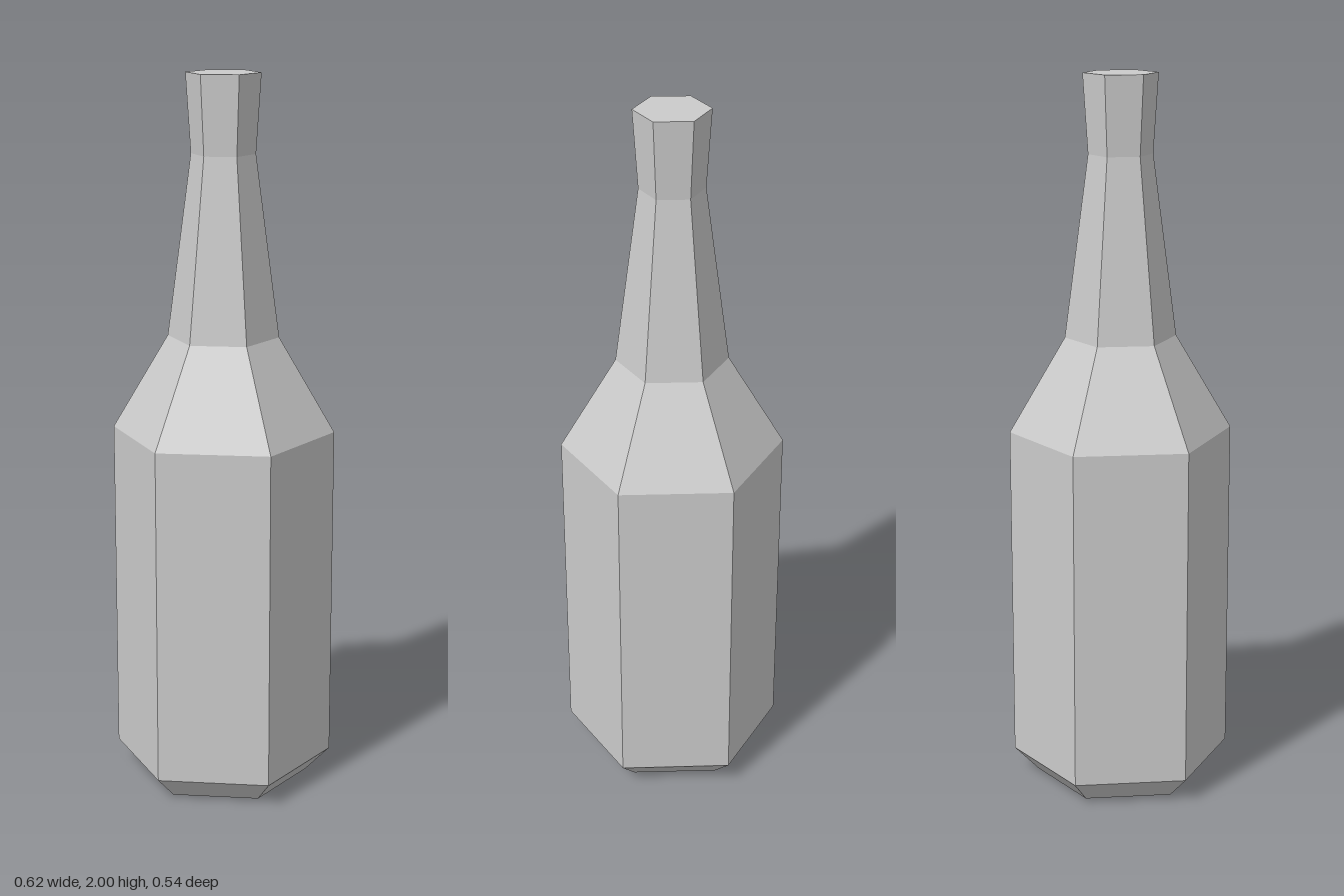
import * as THREE from 'three';

const SIDES = 6;

export function createModel() {
  const group = new THREE.Group();
  group.name = 'bottle';
  const material = new THREE.MeshStandardMaterial({ color: 0xcccccc, flatShading: true });

  // Closed profile [radius, height], from the base centre up to the capped mouth
  const profile = [
    [0, 0],
    [0.24, 0],        // base
    [0.309, 0.07],    // bevel
    [0.309, 1.02],    // body
    [0.154, 1.285],   // shoulder
    [0.088, 1.785],   // neck
    [0.102, 2],       // flared lip
    [0, 2],
  ].map(([r, y]) => new THREE.Vector2(r, y));

  // Six-sided bottle with corners on the x axis
  const geometry = new THREE.LatheGeometry(profile, SIDES, Math.PI / SIDES);
  const bottle = new THREE.Mesh(geometry, material);
  bottle.name = 'bottleBody';
  group.add(bottle);

  return group;
}
